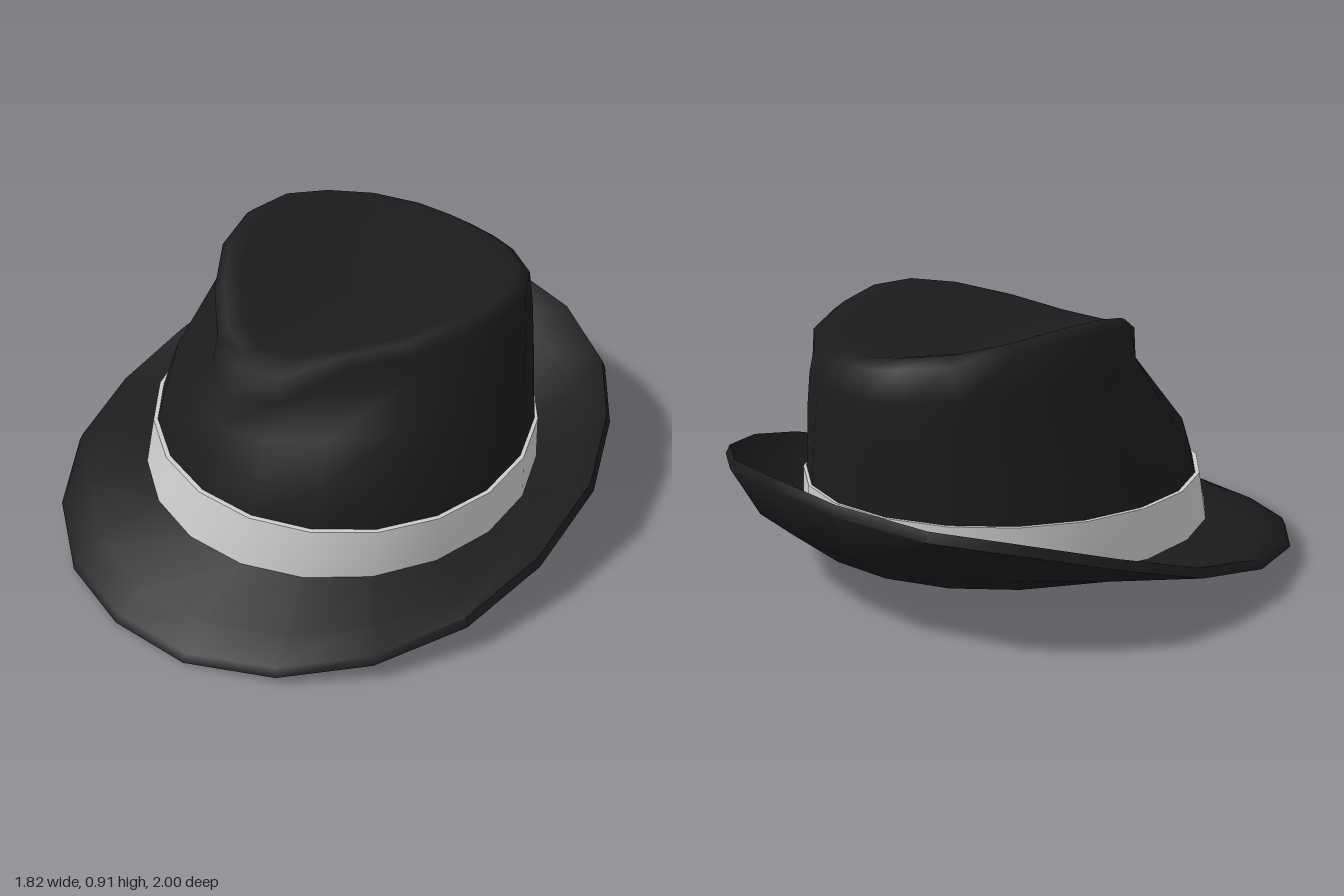
import * as THREE from 'three';
import { toCreasedNormals } from 'three/addons/utils/BufferGeometryUtils.js';

const SIDES = 20, HALF = SIDES / 2;

// Closed ring mirrored from a half outline running front -> left side -> back.
function mirrorRing(half) {
  const ring = half.map(p => new THREE.Vector3(...p));
  for (let i = HALF - 1; i > 0; i--) ring.push(new THREE.Vector3(-half[i][0], half[i][1], half[i][2]));
  return ring;
}

// Egg-shaped level ring, widest at z = -0.06.
function egg(rx, front, back, y) {
  const half = [];
  for (let i = 0; i <= HALF; i++) {
    const a = i / HALF * Math.PI, c = Math.cos(a);
    half.push([rx * Math.sin(a), y, -0.06 + c * (c > 0 ? front + 0.06 : -0.06 - back)]);
  }
  return mirrorRing(half);
}

// Blend of two rings, with a separate blend for height.
function mix(a, b, t, h = () => t) {
  return a.map((p, i) => {
    const q = p.clone().lerp(b[i], t);
    q.y = THREE.MathUtils.lerp(p.y, b[i].y, h(i));
    return q;
  });
}

// Ring raised by d and scaled in plan by s.
const lift = (ring, d, s = 1) => ring.map(p => new THREE.Vector3(p.x * s, p.y + d, p.z * s));

// Skin over a list of rings.
function loft(rings) {
  const index = [];
  for (let j = 0; j < rings.length - 1; j++) {
    for (let i = 0; i < SIDES; i++) {
      const a = j * SIDES + i, b = j * SIDES + (i + 1) % SIDES;
      index.push(a, b, b + SIDES, a, b + SIDES, a + SIDES);
    }
  }
  const g = new THREE.BufferGeometry();
  g.setAttribute('position', new THREE.Float32BufferAttribute(rings.flat().flatMap(p => [p.x, p.y, p.z]), 3));
  g.setIndex(index);
  g.computeVertexNormals();
  return g;
}

// Brim: dips at the front, snaps up at the back; its underside flows into a domed hollow.
function brimGeometry() {
  const edge = mirrorRing([
    [0, 0.005, 0.995], [0.29, 0.01, 0.95], [0.56, 0.04, 0.8], [0.76, 0.075, 0.57], [0.88, 0.11, 0.27],
    [0.91, 0.175, -0.05], [0.87, 0.275, -0.37], [0.735, 0.345, -0.63], [0.56, 0.385, -0.83],
    [0.29, 0.425, -0.965], [0, 0.445, -1],
  ]);
  const inner = egg(0.68, 0.66, -0.76, 0.14);
  const bend = i => THREE.MathUtils.lerp(0.65, 0.42, Math.min(1, edge[i].y / 0.4));
  const mid = mix(inner, edge, 0.65, bend);
  const hollow = [[0.001, 0.47], [0.3, 0.455], [0.6, 0.39], [0.85, 0.27]]
    .map(([s, y]) => egg(0.68 * s, 0.72 * s - 0.06, -0.7 * s - 0.06, y));
  return toCreasedNormals(loft([
    ...hollow, inner, mid, edge, lift(edge, 0.03, 0.985), lift(mid, 0.03), lift(inner, 0.03),
  ]), 1);
}

// Crown: teardrop top with a sunken centre and two front pinches.
function crownGeometry() {
  const rim = mirrorRing([
    [0, 0.775, 0.385], [0.14, 0.79, 0.34], [0.29, 0.84, 0.22], [0.42, 0.885, 0.07], [0.48, 0.91, -0.09],
    [0.485, 0.905, -0.25], [0.435, 0.875, -0.41], [0.34, 0.845, -0.55], [0.2, 0.825, -0.64],
    [0.1, 0.815, -0.67], [0, 0.815, -0.675],
  ]);
  const shoulder = rim.map(p => new THREE.Vector3(p.x * 1.075, p.y - 0.03, (p.z + 0.12) * 1.075 - 0.12));
  const base = egg(0.66, 0.602, -0.752, 0.33);
  const pinch = [0, 0.05, 0.11, 0.06, 0.01];
  const walls = [0.3, 0.55, 0.8].map((t, j) => mix(base, shoulder, t).map((p, i) => {
    const dent = (pinch[Math.min(i, SIDES - i)] || 0) * [-0.3, 0.3, 1][j];
    const s = 1 - dent;
    const swell = Math.abs(p.z) > 0.3 ? [1.01, 1.02, 1.02][j] : 1;
    return new THREE.Vector3(p.x * s, p.y, (p.z + 0.06) * s * swell - 0.06);
  }));
  const centre = rim.map(() => new THREE.Vector3(0, 0.765, -0.12));
  const tops = [0.12, 0.4, 0.7, 1].map((t, j) => mix(rim, centre, t, () => [0.15, 0.55, 0.85, 1][j]));
  return loft([egg(0.675, 0.65, -0.755, 0.15), base, ...walls, shoulder, rim, ...tops]);
}

// Ribbon: a thin sleeve with a lip turned in to the crown.
function ribbonGeometry() {
  return toCreasedNormals(loft([
    egg(0.685, 0.665, -0.765, 0.165), egg(0.672, 0.615, -0.762, 0.338), egg(0.655, 0.597, -0.748, 0.338),
  ]), 0.8);
}

export function createModel() {
  const felt = new THREE.MeshStandardMaterial({ color: 0x1c1c1c });
  const ribbon = new THREE.MeshStandardMaterial({ color: 0xcccccc });
  const hat = new THREE.Group();
  hat.name = 'hat';
  const add = (name, geometry, material) => {
    const mesh = new THREE.Mesh(geometry, material);
    mesh.name = name;
    hat.add(mesh);
  };
  add('brim', brimGeometry(), felt);
  add('crown', crownGeometry(), felt);
  add('ribbonBand', ribbonGeometry(), ribbon);
  return hat;
}
